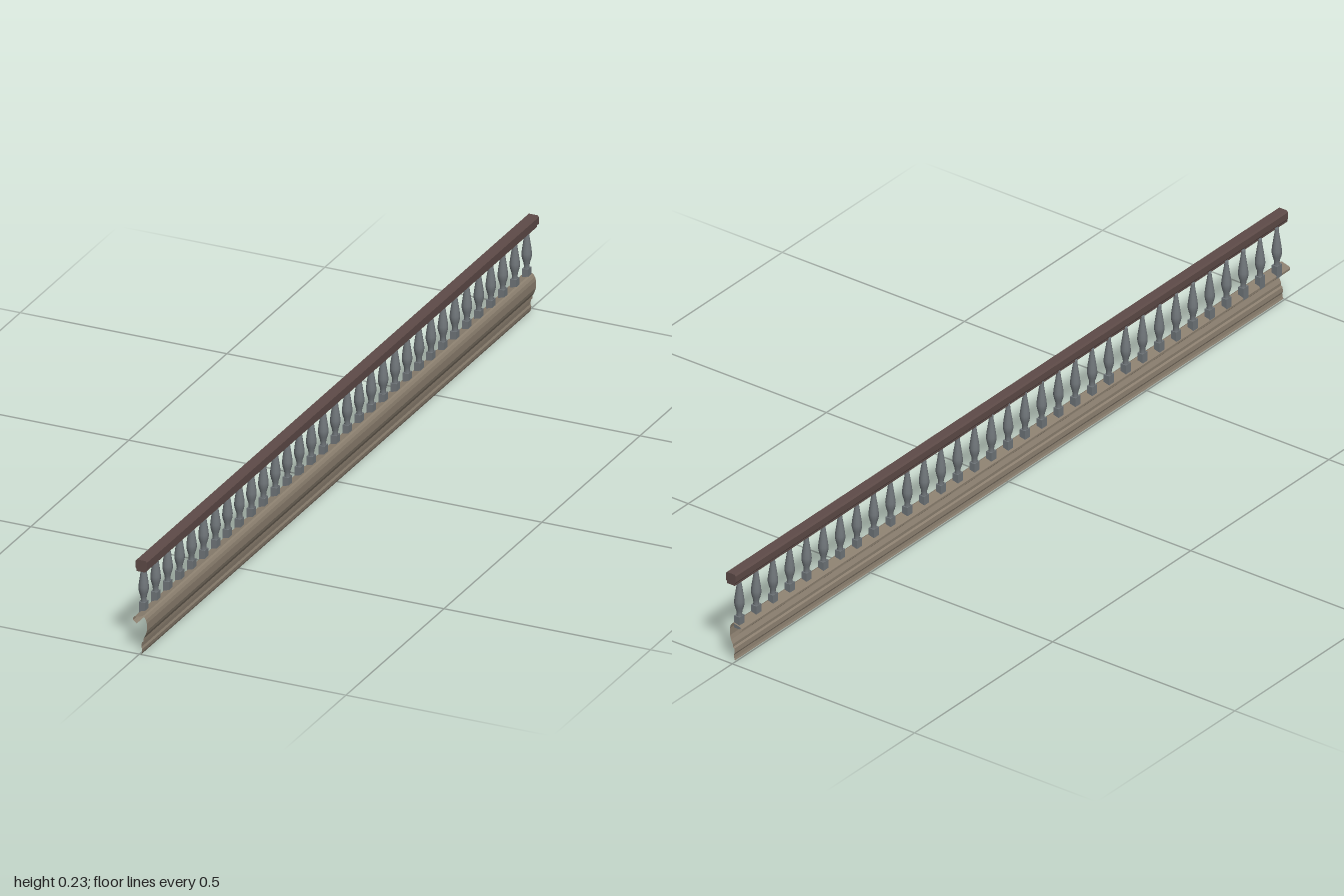
import * as THREE from 'three';

const wood = new THREE.MeshStandardMaterial({ color: 0x5e4b48 });
const stone = new THREE.MeshStandardMaterial({ color: 0x70767a });
const plaster = new THREE.MeshStandardMaterial({ color: 0x8c8070, side: THREE.DoubleSide, flatShading: true });

function addMesh(parent, name, geometry, material) {
  const mesh = new THREE.Mesh(geometry, material);
  mesh.name = name;
  parent.add(mesh);
  return mesh;
}

// Open sheet swept along z from a list of [x, y] points
function sweepSheet(points, zFront, zBack) {
  const n = points.length - 1;
  const geometry = new THREE.PlaneGeometry(1, 1, n, 1);
  const pos = geometry.attributes.position;
  for (let i = 0; i < pos.count; i++) {
    const [x, y] = points[Math.round((pos.getX(i) + 0.5) * n)];
    pos.setXYZ(i, x, y, pos.getY(i) > 0 ? zBack : zFront);
  }
  geometry.computeVertexNormals();
  return geometry;
}

export function createModel() {
  const model = new THREE.Group();
  model.name = 'balustrade';

  // Handrail: chamfered top, stepped underside
  const railProfile = [
    [-0.007, 0.199], [0.014, 0.199], [0.014, 0.204], [0.018, 0.207], [0.018, 0.223],
    [0.015, 0.227], [-0.006, 0.227], [-0.009, 0.223], [-0.009, 0.207], [-0.007, 0.204],
  ];
  const railShape = new THREE.Shape(railProfile.map(([x, y]) => new THREE.Vector2(x, y)));
  const rail = addMesh(model, 'handrail',
    new THREE.ExtrudeGeometry(railShape, { depth: 2, bevelEnabled: false }), wood);
  rail.position.z = -1;

  // Moulded base: narrow ledge, cove and stepped lower edge
  const baseProfile = [
    [-0.006, 0.073], [-0.011, 0.076], [-0.015, 0.08], [-0.015, 0.085], [-0.012, 0.088],
    [0.008, 0.093], [0.012, 0.091], [0.016, 0.085], [0.018, 0.077], [0.018, 0.059],
    [0.015, 0.049], [0.012, 0.043], [0.01, 0.039], [0.01, 0.032], [0.006, 0.029],
    [0.005, 0.018], [0.007, 0.013], [0.006, 0.005], [0.004, 0],
  ];
  addMesh(model, 'mouldedBase', sweepSheet(baseProfile, 1, -0.985), plaster);

  // Balusters: square foot and turned vase-shaped shaft
  const turned = [
    [0.0068, 0.108], [0.0062, 0.115], [0.007, 0.122], [0.0098, 0.131], [0.0115, 0.139],
    [0.0116, 0.146], [0.0102, 0.158], [0.0075, 0.176], [0.0052, 0.191], [0.0046, 0.197], [0.0046, 0.203],
    [0, 0.203],
  ];
  const shaftGeometry = new THREE.LatheGeometry(turned.map(([r, y]) => new THREE.Vector2(r, y)), 12);
  const footGeometry = new THREE.BoxGeometry(0.0145, 0.03, 0.018);
  const count = 33;
  for (let i = 0; i < count; i++) {
    const t = i / (count - 1);
    const baluster = new THREE.Group();
    baluster.name = 'baluster';
    // The row drifts slightly sideways along its length
    baluster.position.set(-0.0085 + 0.0105 * t, 0, 0.96 - 1.932 * t);
    addMesh(baluster, 'balusterShaft', shaftGeometry, stone);
    addMesh(baluster, 'balusterFoot', footGeometry, stone).position.y = 0.095;
    model.add(baluster);
  }
  return model;
}
